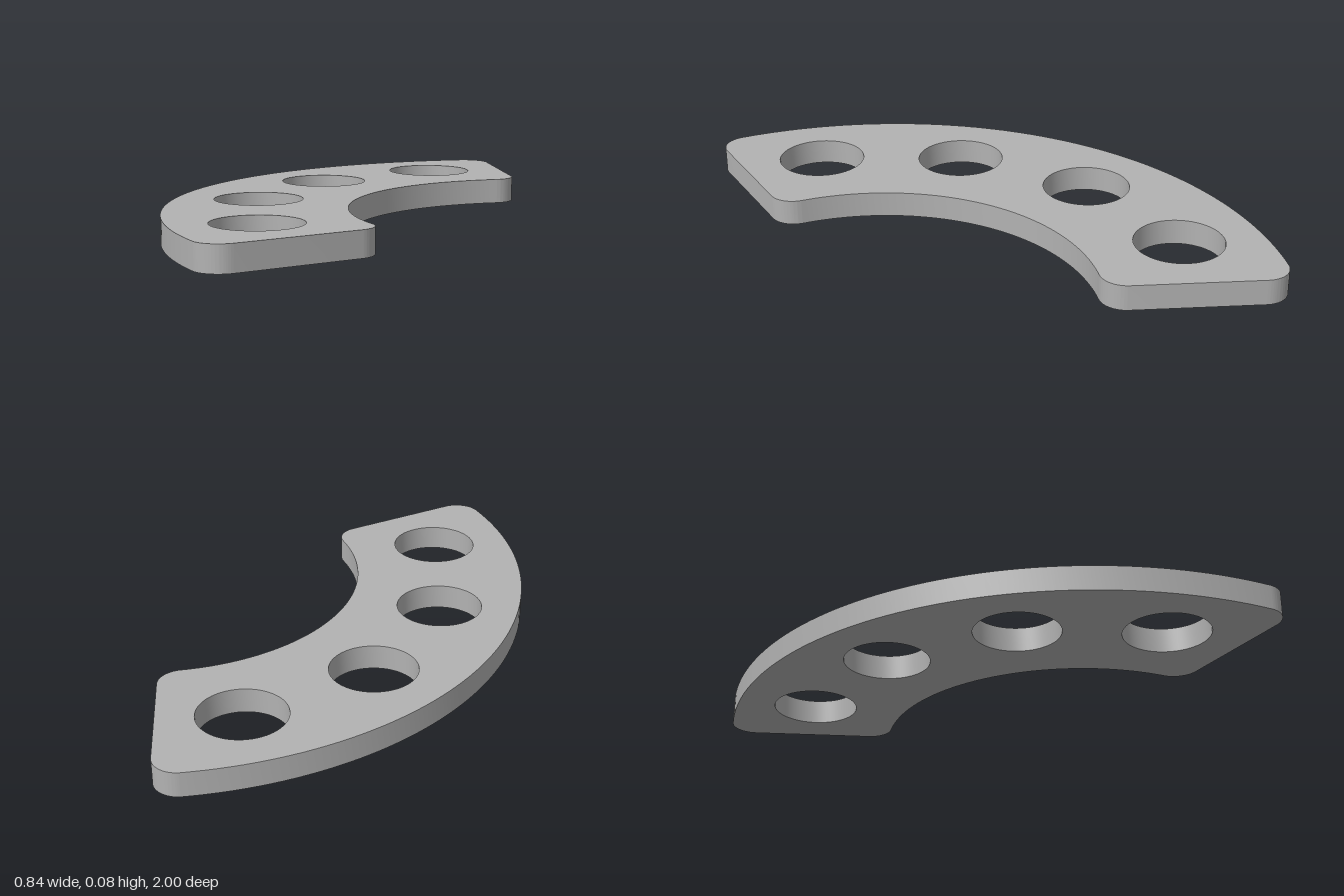
import * as THREE from 'three';
import { toCreasedNormals } from 'three/addons/utils/BufferGeometryUtils.js';

const CENTRE = 0.804;      // x of the common arc centre
const OUTER = 1.224;       // outer arc radius
const INNER = 0.664;       // inner arc radius
const FILLET = 0.08;       // corner rounding
const HALF = THREE.MathUtils.degToRad(57.5); // half of the sector angle
const THICKNESS = 0.081;
const HOLE_RING = 0.964;
const HOLE_RADIUS = 0.14;

// Point on a circle around the arc centre, at an angle from the -x direction
function polar(radius, angle) {
  return [CENTRE - radius * Math.cos(angle), radius * Math.sin(angle)];
}

// Sector of a ring with four rounded corners
function plateShape() {
  const { PI } = Math;
  const a = HALF - Math.asin(FILLET / (OUTER - FILLET)); // outer fillet centre angle
  const b = HALF - Math.asin(FILLET / (INNER + FILLET)); // inner fillet centre angle
  const side = PI / 2 - HALF;                            // direction the end faces
  const shape = new THREE.Shape();
  shape.absarc(CENTRE, 0, OUTER, PI + a, PI - a, true);
  shape.absarc(...polar(OUTER - FILLET, a), FILLET, PI - a, side, true);
  shape.absarc(...polar(INNER + FILLET, b), FILLET, side, -b, true);
  shape.absarc(CENTRE, 0, INNER, PI - b, PI + b, false);
  shape.absarc(...polar(INNER + FILLET, -b), FILLET, b, -side, true);
  shape.absarc(...polar(OUTER - FILLET, -a), FILLET, -side, a - PI, true);

  // Four evenly spaced round holes
  for (const degrees of [-42, -14, 14, 42]) {
    const hole = new THREE.Path();
    hole.absarc(...polar(HOLE_RING, THREE.MathUtils.degToRad(degrees)), HOLE_RADIUS, 0, PI * 2, false);
    shape.holes.push(hole);
  }
  return shape;
}

export function createModel() {
  const group = new THREE.Group();
  group.name = 'curvedLinkPlate';
  const grey = new THREE.MeshStandardMaterial({ color: 0xb2b2b2 });
  grey.name = 'grey';

  // Flat plate, lying on the ground
  const geometry = new THREE.ExtrudeGeometry(plateShape(), {
    depth: THICKNESS, bevelEnabled: false, curveSegments: 32,
  });
  geometry.rotateX(-Math.PI / 2);
  const plate = new THREE.Mesh(toCreasedNormals(geometry, Math.PI / 6), grey);
  plate.name = 'plate';
  group.add(plate);
  return group;
}
